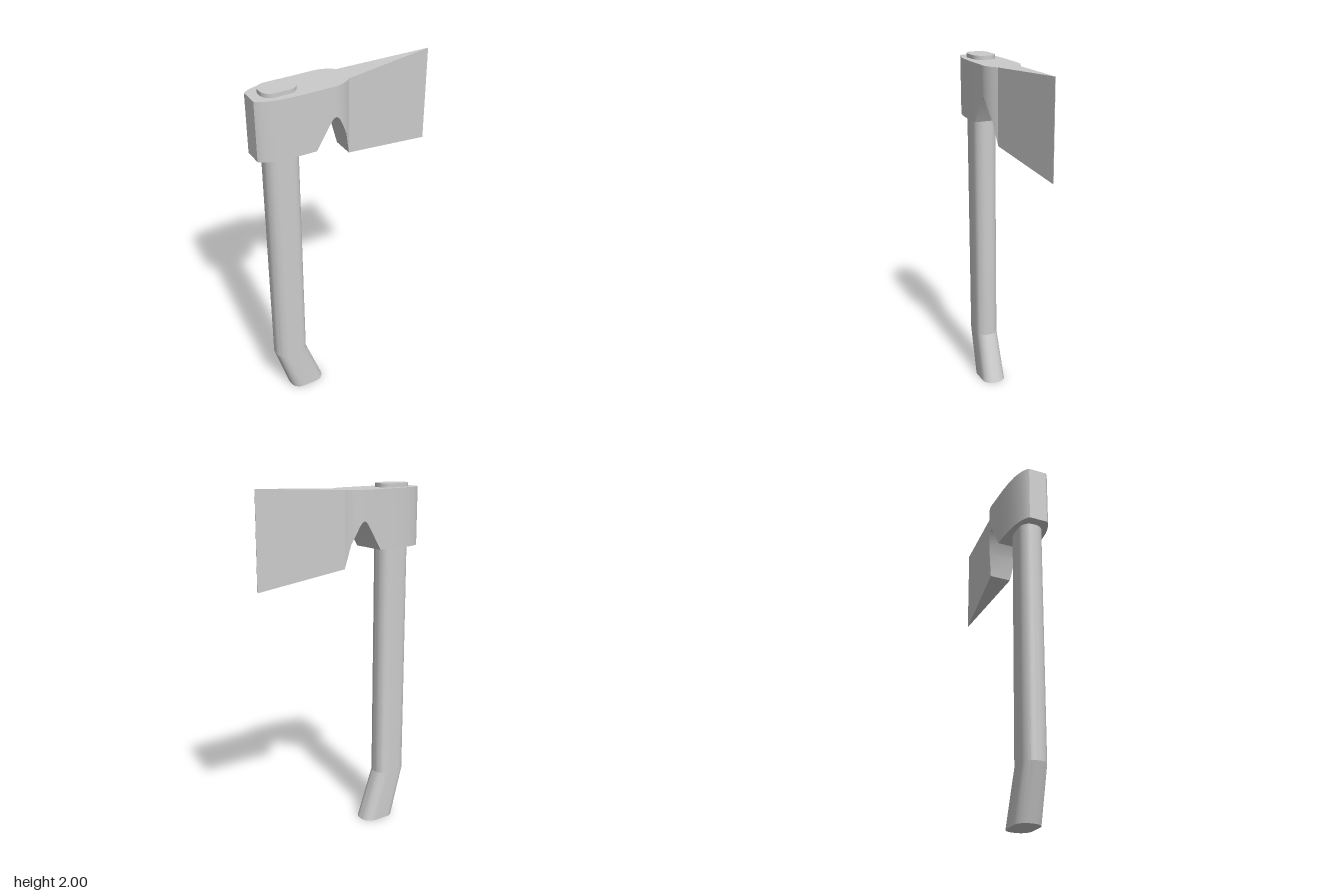
import * as THREE from 'three';
import { toCreasedNormals } from 'three/addons/utils/BufferGeometryUtils.js';

// Skin a closed solid over rings that run counter-clockwise about the loft axis.
function loft(rings, crease) {
  const pos = [];
  const tri = (...pts) => pts.forEach((p) => pos.push(p.x, p.y, p.z));
  const n = rings[0].length;
  const centre = (ring) =>
    ring.reduce((sum, p) => sum.add(p), new THREE.Vector3()).divideScalar(n);
  const first = rings[0];
  const last = rings[rings.length - 1];
  const c0 = centre(first);
  const c1 = centre(last);
  for (let j = 0; j < n; j++) {
    const k = (j + 1) % n;
    for (let i = 0; i < rings.length - 1; i++) {
      const [a, b] = [rings[i][j], rings[i][k]];
      const [d, c] = [rings[i + 1][j], rings[i + 1][k]];
      tri(a, b, c);
      tri(a, c, d);
    }
    tri(c0, first[k], first[j]);
    tri(c1, last[j], last[k]);
  }
  const geometry = new THREE.BufferGeometry();
  geometry.setAttribute('position', new THREE.Float32BufferAttribute(pos, 3));
  return toCreasedNormals(geometry, crease);
}

// Horizontal rounded rectangle, half sizes hx and hz, centred at (cx, y).
function roundedRing(cx, y, hx, hz, r) {
  const ring = [];
  const steps = 8;
  const corners = [[1, 1], [1, -1], [-1, -1], [-1, 1]]; // signs of x, z
  corners.forEach(([sx, sz], q) => {
    for (let s = 0; s <= steps; s++) {
      const a = (q + s / steps) * Math.PI / 2;
      ring.push(new THREE.Vector3(
        cx + sx * (hx - r) + r * Math.sin(a), y,
        sz * (hz - r) + r * Math.cos(a)));
    }
  });
  return ring;
}

export function createModel() {
  const group = new THREE.Group();
  const material = new THREE.MeshStandardMaterial({ color: 0xcccccc });
  const add = (name, geometry) => {
    const mesh = new THREE.Mesh(geometry, material);
    mesh.name = name;
    group.add(mesh);
  };

  // Handle: straight shaft with a bent, slightly flared grip
  add('handle', loft([
    roundedRing(-0.273, 0, 0.103, 0.07, 0.06),
    roundedRing(-0.365, 0.288, 0.095, 0.065, 0.057),
    roundedRing(-0.365, 1.997, 0.095, 0.065, 0.057),
  ], 0.24));

  // Head: [x, half thickness, bottom, top] from the poll to the cutting edge
  const sections = [
    [-0.512, 0.052, 1.648, 1.975],
    [-0.502, 0.062, 1.648, 1.975],
    [-0.48, 0.075, 1.648, 1.975],
    [-0.45, 0.086, 1.648, 1.975],
    [-0.41, 0.096, 1.648, 1.975],
    [-0.35, 0.103, 1.648, 1.975],
    [-0.27, 0.106, 1.648, 1.975],
    [-0.21, 0.106, 1.648, 1.975],
    [-0.127, 0.106, 1.785, 1.975],
    [-0.112, 0.106, 1.804, 1.975],
    [-0.1, 0.106, 1.809, 1.975],
    [-0.088, 0.105, 1.804, 1.975],
    [-0.073, 0.102, 1.785, 1.975],
    [-0.05, 0.094, 1.738, 1.975],
    [-0.027, 0.082, 1.685, 1.975],
    [0, 0.062, 1.556, 1.975],
    [0.51, 0.001, 1.474, 2],
  ];
  add('axeHead', loft(sections.map(([x, w, bottom, top]) => [
    new THREE.Vector3(x, bottom, -w),
    new THREE.Vector3(x, top, -w),
    new THREE.Vector3(x, top, w),
    new THREE.Vector3(x, bottom, w),
  ]), 0.42));

  return group;
}
